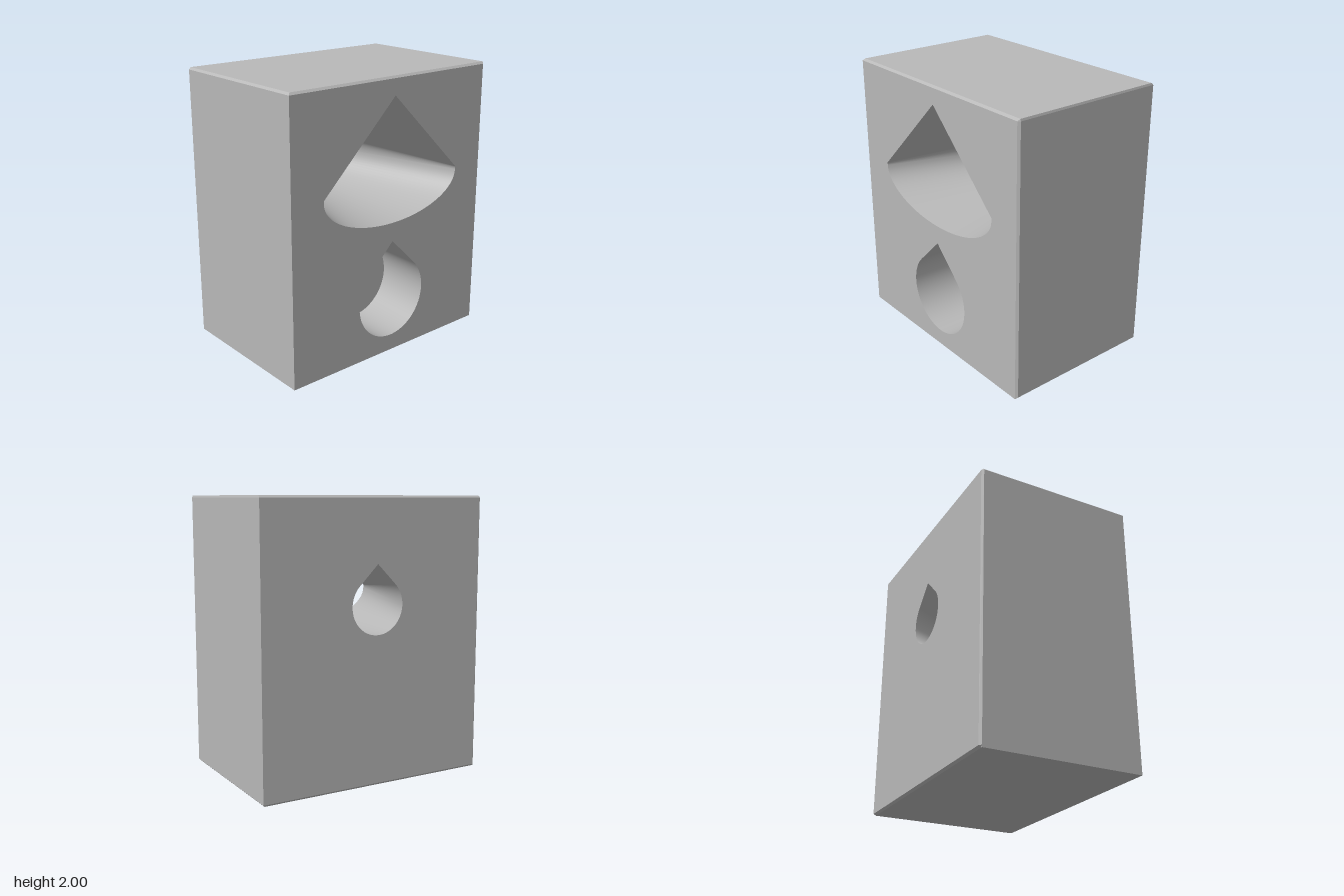
import * as THREE from 'three';

const W = 0.87, H = 2, D = 0.58, C = 0.015; // half width, height, half depth, chamfer

// Clockwise teardrop: apex, round belly, apex again
function teardrop(r, cy, n = 60) {
  const pts = [[0, cy + r * Math.SQRT2]];
  for (let i = 0; i <= n; i++) {
    const a = Math.PI / 4 - (i / n) * Math.PI * 1.5;
    pts.push([r * Math.cos(a), cy + r * Math.sin(a)]);
  }
  pts.push(pts[0]);
  return pts;
}

// Wide mouth: 45 degree roof over a half ellipse, matched point by point to a teardrop
function funnelMouth(n = 60) {
  const pts = [[0, 1.87]];
  for (let i = 0; i <= n; i++) {
    const a = Math.PI / 4 - (i / n) * Math.PI * 1.5, s = Math.sin(a);
    pts.push(s > 0
      ? [0.61 * Math.sign(Math.cos(a)), 1.25 + 0.03 * s]
      : [0.61 * Math.cos(a), 1.25 + 0.27 * s]);
  }
  pts.push(pts[0]);
  return pts;
}

// Inward-facing wall between two matched outlines
function holeWall(front, zf, back, zb) {
  const pos = [], idx = [];
  front.forEach((p, i) => {
    pos.push(p[0], p[1], zf, back[i][0], back[i][1], zb);
    if (i) {
      const f = 2 * (i - 1);
      idx.push(f, f + 1, f + 2, f + 2, f + 1, f + 3);
    }
  });
  const g = new THREE.BufferGeometry();
  g.setAttribute('position', new THREE.Float32BufferAttribute(pos, 3));
  g.setIndex(idx);
  g.computeVertexNormals();
  return g;
}

const toPath = (pts, Kind) => new Kind(pts.slice(0, -1).map(p => new THREE.Vector2(p[0], p[1])));

// Flat front or back plate with openings
function plate(holes) {
  const s = toPath([[-W, C], [W - C, C], [W - C, H - C], [-W, H - C], [-W, C]], THREE.Shape);
  s.holes = holes.map(h => toPath(h, THREE.Path));
  return new THREE.ShapeGeometry(s);
}

// Block sides, top and bottom with narrow chamfers, from stacked plan outlines
function blockShell() {
  const plan = [[-W, D], [W - C, D], [W, D - C], [W, -D], [-W + C, -D], [-W, -D + C]];
  const ring = (y, left, right, front, back) => plan.map(([x, z]) => [
    Math.min(Math.max(x, -W + left), W - right), y,
    Math.min(Math.max(z, -D + back), D - front)]);
  const rings = [ring(0, 0, C, 0, C), ring(C, 0, 0, 0, 0),
    ring(H - C, 0, 0, 0, 0), ring(H, C, 0.004, C, C)];
  const pos = [];
  const tri = (a, b, c) => pos.push(...a, ...b, ...c);
  for (let k = 0; k < 3; k++) {
    for (let j = 0; j < 6; j++) {
      if (k === 1 && (j === 0 || j === 3)) continue; // front and back plates go here
      const n = (j + 1) % 6, lo = rings[k], hi = rings[k + 1];
      tri(lo[j], lo[n], hi[n]);
      tri(lo[j], hi[n], hi[j]);
    }
  }
  for (let j = 1; j < 5; j++) {
    tri(rings[0][0], rings[0][j + 1], rings[0][j]);
    tri(rings[3][0], rings[3][j], rings[3][j + 1]);
  }
  const g = new THREE.BufferGeometry();
  g.setAttribute('position', new THREE.Float32BufferAttribute(pos, 3));
  g.computeVertexNormals();
  return g;
}

export function createModel() {
  const group = new THREE.Group();
  const grey = new THREE.MeshStandardMaterial({ color: 0xb8b8b8 });
  grey.name = 'grey';
  const add = (name, geometry) => {
    const m = new THREE.Mesh(geometry, grey);
    m.name = name;
    group.add(m);
    return m;
  };

  const mouth = funnelMouth(), exit = teardrop(0.2, 1.262), pocket = teardrop(0.3, 0.42);
  const pocketZ = D - 0.4;

  add('blockShell', blockShell());
  add('frontFace', plate([mouth, pocket])).position.z = D;
  const back = add('backFace', plate([exit]));
  back.rotation.y = Math.PI;
  back.position.z = -D;

  // Tapered passage through the block
  add('funnelWall', holeWall(mouth, D, exit, -D));

  // Blind pocket below it
  add('pocketWall', holeWall(pocket, D, pocket, pocketZ));
  add('pocketFloor', new THREE.ShapeGeometry(toPath(pocket, THREE.Shape))).position.z = pocketZ;

  return group;
}
